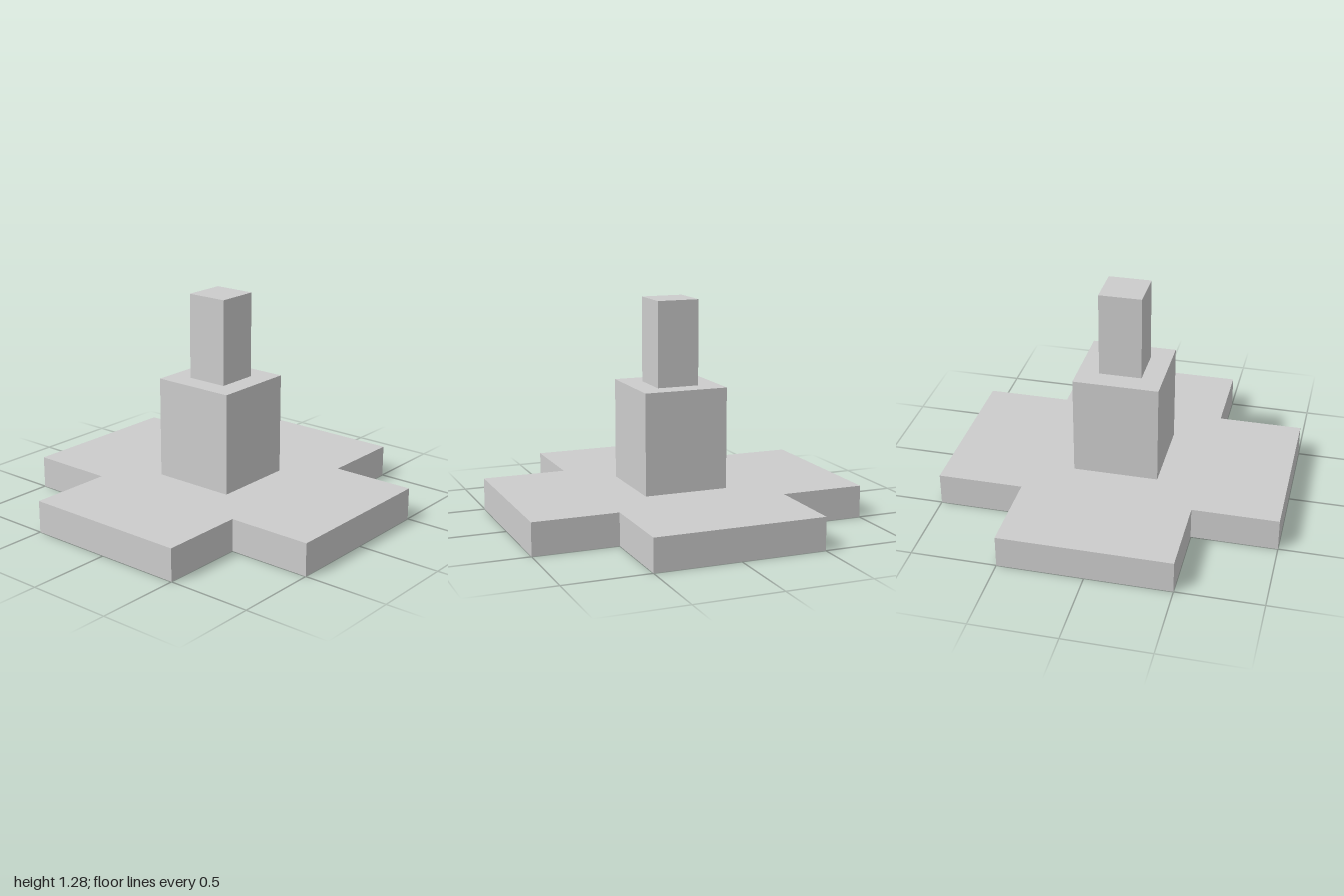
import * as THREE from 'three';

export function createModel() {
  const model = new THREE.Group();
  const material = new THREE.MeshStandardMaterial({ color: 0xcccccc, flatShading: true });

  const baseTop = 0.19, blockTop = 0.785, postTop = 1.285;

  // Cross-shaped base plate, mirrored from one quadrant's corners
  const corners = [];
  for (let i = 0; i < 4; i++) {
    for (const [x, y] of [[1, 0.5], [0.5, 0.5], [0.5, 1]]) {
      corners.push(new THREE.Vector2(x, y).rotateAround(new THREE.Vector2(), i * Math.PI / 2));
    }
  }
  const plate = new THREE.ExtrudeGeometry(new THREE.Shape(corners), { depth: baseTop, bevelEnabled: false });
  plate.rotateX(-Math.PI / 2);
  const base = new THREE.Mesh(plate, material);
  base.name = 'crossBase';
  model.add(base);

  // Square blocks stacked on the base
  const addBlock = (name, width, bottom, top) => {
    const block = new THREE.Mesh(new THREE.BoxGeometry(width, top - bottom, width), material);
    block.position.y = (bottom + top) / 2;
    block.name = name;
    model.add(block);
  };
  addBlock('pedestal', 0.5, baseTop, blockTop);
  addBlock('post', 0.25, blockTop, postTop);

  return model;
}
